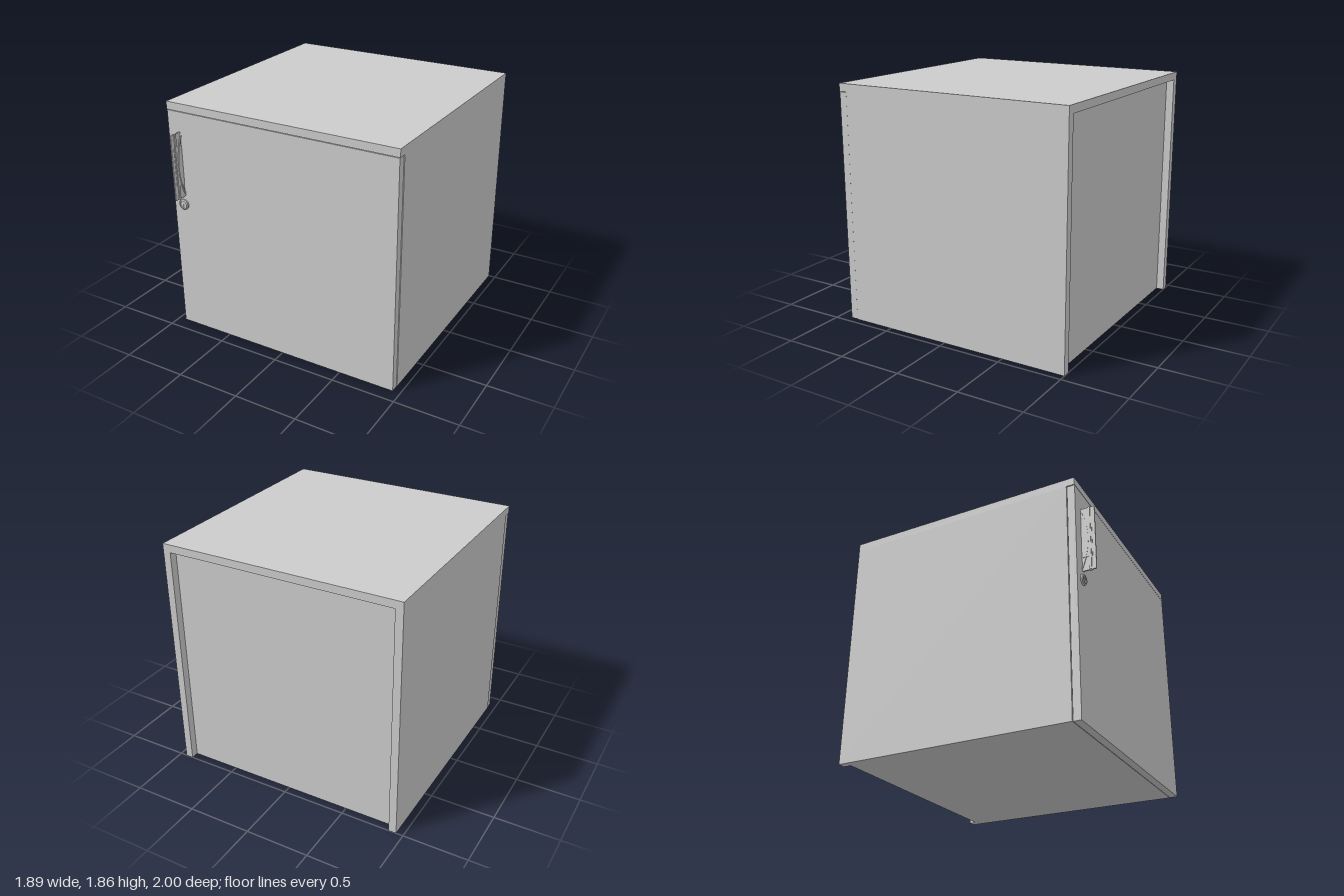
import * as THREE from 'three';

const grey = new THREE.MeshStandardMaterial({ color: 0xcccccc, side: THREE.DoubleSide });

export function createModel() {
  const model = new THREE.Group();
  model.name = 'cabinet';

  const add = (name, geometry, parent = model) => {
    const mesh = new THREE.Mesh(geometry, grey);
    mesh.name = name;
    parent.add(mesh);
    return mesh;
  };
  // Box given by its limits on each axis
  const box = (name, [x0, x1], [y0, y1], [z0, z1], parent) =>
    add(name, new THREE.BoxGeometry(x1 - x0, y1 - y0, z1 - z0), parent)
      .position.set((x0 + x1) / 2, (y0 + y1) / 2, (z0 + z1) / 2);

  const W = 0.945, H = 1.86, T = 0.06, back = -1, front = 0.895;
  const inner = W - T, bodyFront = 0.832, panelBack = back + T;

  // Carcass: the top reaches over the door, the back and floor sit inside the sides
  box('top', [-W, W], [H - T, H], [back, front]);
  box('rightSide', [-W, -inner], [0, H - T], [back, bodyFront]);
  box('leftSide', [inner, W], [0, H - T], [back, bodyFront]);
  box('backPanel', [-inner, inner], [0, H - T], [panelBack, panelBack + 0.03]);
  box('floor', [-inner, inner], [0, T], [panelBack + 0.03, bodyFront]);

  // Door with a fine gap around it
  box('door', [-W + 0.004, W - 0.004], [0, H - T - 0.004], [bodyFront + 0.004, front]);

  // Handle: upright fin with two ribs and a bowed grip strip
  const handle = new THREE.Group();
  handle.name = 'handle';
  model.add(handle);
  const y0 = 1.128, y1 = 1.642, hx = -0.842;
  box('handleFin', [hx - 0.005, hx + 0.005], [y0, y1], [front, 1], handle);
  box('handleRib', [hx - 0.012, hx + 0.012], [y0, y1], [0.95, 0.967], handle);
  box('handleInset', [hx - 0.008, hx + 0.008], [1.235, 1.54], [front, 0.976], handle);

  // The bow is drawn as (z, y) and extruded across x
  const bow = new THREE.Shape();
  bow.moveTo(front, 1.14);
  bow.quadraticCurveTo(1.0, 1.385, front, 1.63);
  bow.lineTo(front, 1.61);
  bow.quadraticCurveTo(0.985, 1.385, front, 1.16);
  const bowGeometry = new THREE.ExtrudeGeometry(bow, { depth: 0.024, bevelEnabled: false, curveSegments: 16 });
  bowGeometry.rotateY(-Math.PI / 2).scale(1, 1, 1);
  const bowMesh = add('handleBow', bowGeometry, handle);
  bowMesh.position.x = hx + 0.014;

  // Lock: stepped round rosette with a key slot
  const lock = new THREE.Group();
  lock.name = 'lock';
  lock.position.set(-0.85, 1.058, front);
  model.add(lock);
  const profile = [[0.041, 0], [0.041, 0.012], [0.034, 0.02], [0.026, 0.02], [0.024, 0.016], [0, 0.016]]
    .map(([r, h]) => new THREE.Vector2(r, h));
  const rosette = new THREE.LatheGeometry(profile, 32).toNonIndexed();
  rosette.computeVertexNormals();
  rosette.rotateX(Math.PI / 2);
  add('lockRosette', rosette, lock);
  box('keySlot', [-0.003, 0.003], [-0.015, 0.015], [0.012, 0.018], lock);

  return model;
}
